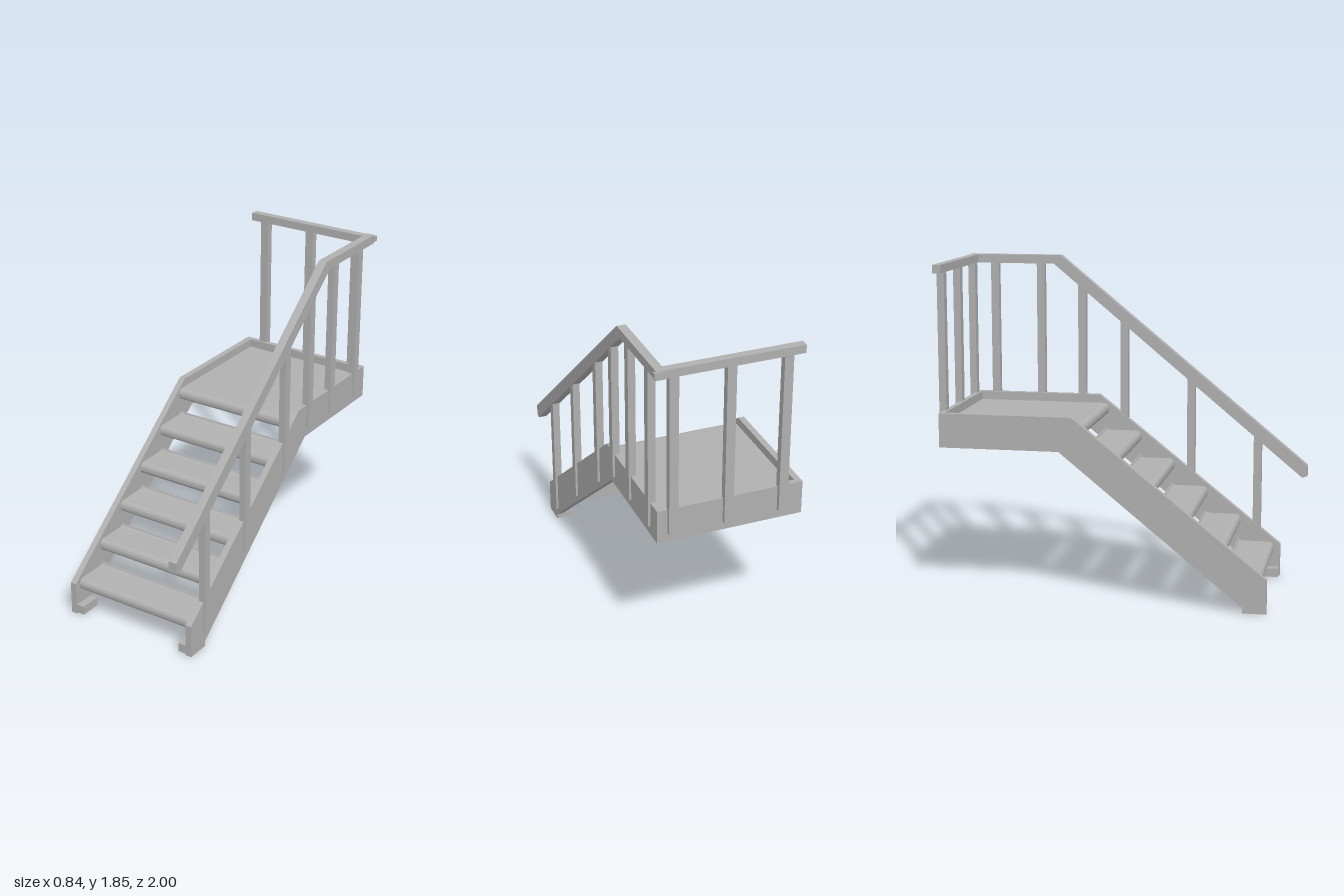
import * as THREE from 'three';
import { toCreasedNormals } from 'three/addons/utils/BufferGeometryUtils.js';

export function createModel() {
  const root = new THREE.Group();
  root.name = 'staircase';
  const steel = new THREE.MeshStandardMaterial({ color: 0xb0b0b0 });
  steel.name = 'grey steel';

  function add(name, geometry) {
    const mesh = new THREE.Mesh(geometry, steel);
    mesh.name = name;
    root.add(mesh);
  }
  // Box given by its limits on each axis
  function box(name, x0, x1, y0, y1, z0, z1) {
    const g = new THREE.BoxGeometry(x1 - x0, y1 - y0, z1 - z0);
    add(name, g.translate((x0 + x1) / 2, (y0 + y1) / 2, (z0 + z1) / 2));
  }
  // Side profile in (z, y), extruded across x0..x1
  function profile(name, shape, x0, x1) {
    const g = new THREE.ExtrudeGeometry(shape, { depth: x1 - x0, bevelEnabled: false, curveSegments: 8 });
    g.rotateY(-Math.PI / 2).translate(x1, 0, 0);
    add(name, toCreasedNormals(g, 0.6));
  }
  const polygon = (pts) => new THREE.Shape(pts.map(([z, y]) => new THREE.Vector2(z, y)));

  // Side stringers, each running up the flight and along the landing
  const stringer = polygon([
    [0.85, 0], [0.85, 0.19], [-0.22, 1.04], [-0.96, 1.04],
    [-0.96, 0.85], [-0.29, 0.85], [0.72, 0.03], [0.72, 0],
  ]);
  profile('rightStringer', stringer, -0.42, -0.385);
  profile('leftStringer', stringer, 0.355, 0.392);

  // Feet turned inward
  box('rightFoot', -0.39, -0.34, 0.005, 0.055, 0.72, 0.845);
  box('leftFoot', 0.305, 0.36, 0.005, 0.055, 0.72, 0.845);

  // Folded sheet: rounded nosing, flat top, returned lip, optional upturned back edge
  function foldedSheet(zNose, yTop, depth, backLip) {
    const t = 0.012, r = 0.035, zb = zNose - depth, yb = yTop - 0.062;
    const s = new THREE.Shape();
    s.moveTo(zNose - r, yTop);
    s.quadraticCurveTo(zNose, yTop, zNose, yTop - r);
    s.quadraticCurveTo(zNose, yb, zNose - 0.02, yb);
    s.lineTo(zNose - 0.045, yb);
    s.lineTo(zNose - 0.045, yb + t);
    s.lineTo(zNose - 0.02, yb + t);
    s.quadraticCurveTo(zNose - t, yb + t, zNose - t, yTop - r);
    s.quadraticCurveTo(zNose - t, yTop - t, zNose - r, yTop - t);
    if (backLip) {
      s.lineTo(zb + t, yTop - t);
      s.lineTo(zb + t, yTop - 0.04);
      s.lineTo(zb, yTop - 0.04);
      s.lineTo(zb, yTop + 0.015);
      s.lineTo(zb + 0.006, yTop + 0.015);
      s.quadraticCurveTo(zb + 0.008, yTop, zb + 0.025, yTop);
    } else {
      s.lineTo(zb, yTop - t);
      s.lineTo(zb, yTop);
    }
    return s;
  }

  // Five treads and the landing deck
  for (let i = 0; i < 5; i++) {
    profile('tread' + (i + 1), foldedSheet(0.815 - i * 0.196, 0.202 + i * 0.158, 0.21, true), -0.387, 0.357);
  }
  profile('landingDeck', foldedSheet(-0.163, 0.992, 0.78, false), -0.387, 0.357);
  box('landingBackBoard', -0.42, 0.392, 0.85, 1.04, -0.96, -0.93);
  for (const z of [-0.37, -0.56, -0.75]) {
    box('landingJoist', -0.387, 0.357, 0.935, 0.982, z - 0.015, z + 0.015);
  }

  // Handrail up the flight, level over the landing, and across the back
  profile('sideHandrail', polygon([
    [0.97, 0.59], [1.0, 0.6], [1.0, 0.66], [-0.45, 1.85],
    [-0.99, 1.85], [-0.99, 1.8], [-0.49, 1.8],
  ]), 0.36, 0.408);
  box('backHandrail', -0.39, 0.38, 1.802, 1.848, -0.988, -0.942);
  box('railCornerCap', 0.38, 0.42, 1.815, 1.845, -1.0, -0.975);

  // Side posts: centre z, bottom y, top y
  const sidePosts = [
    [0.71, 0.09, 0.83], [0.32, 0.41, 1.15], [-0.075, 0.73, 1.48],
    [-0.325, 0.9, 1.69], [-0.57, 0.9, 1.82], [-0.845, 0.9, 1.82],
  ];
  for (const [z, y0, y1] of sidePosts) {
    box('sidePost', 0.364, 0.405, y0, y1, z - 0.023, z + 0.023);
  }
  // Back posts
  for (const x of [-0.302, 0.005, 0.31]) {
    box('backPost', x - 0.025, x + 0.025, 0.9, 1.82, -0.983, -0.943);
  }
  return root;
}
